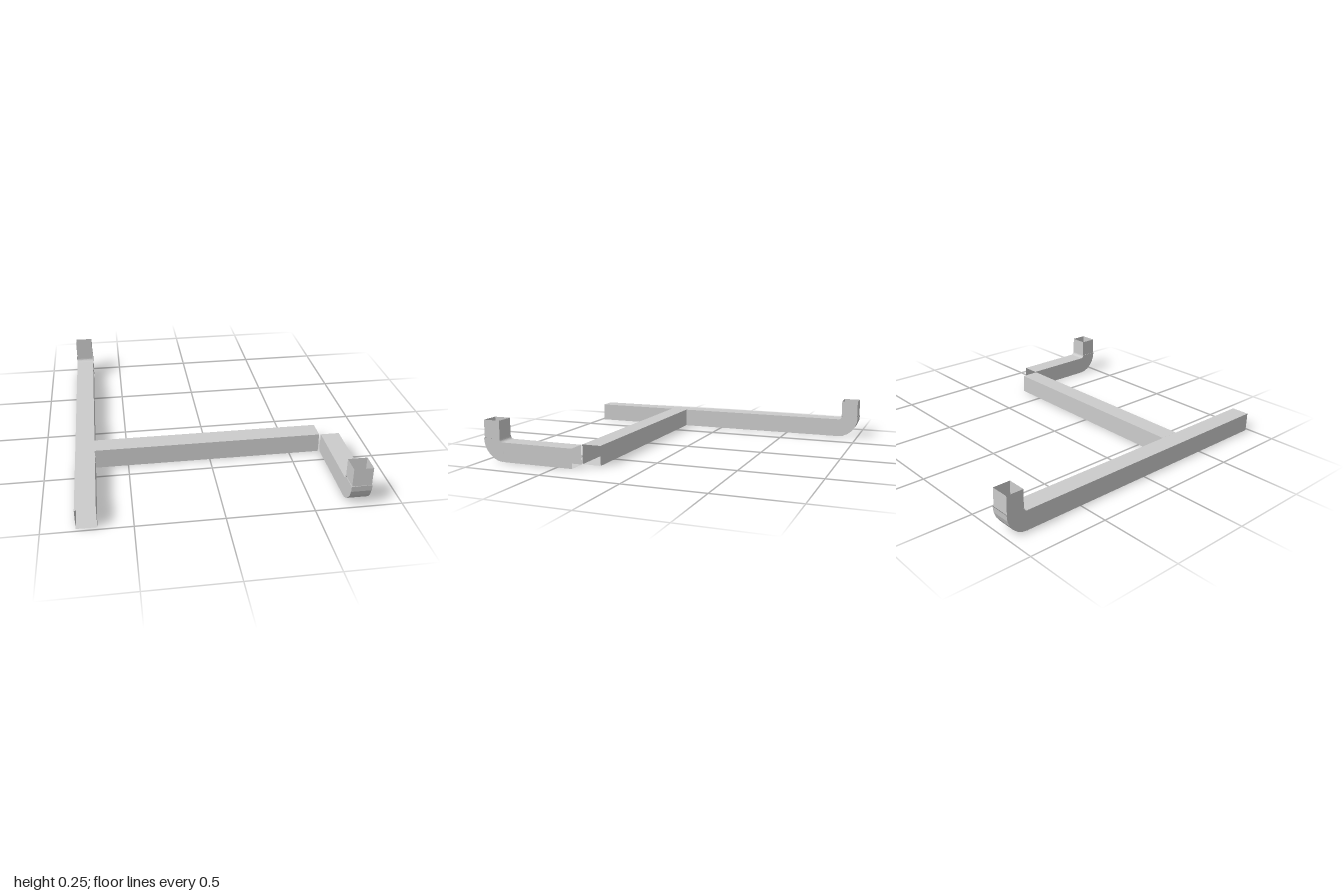
import * as THREE from 'three';

const WIDTH = 0.115, HEIGHT = 0.12;
const material = new THREE.MeshStandardMaterial({ color: 0xcccccc, flatShading: true, side: THREE.DoubleSide });

// Thin-walled square duct through four-cornered rings; openWall leaves out one side
function duct(name, rings, openWall = -1) {
  const points = [];
  for (let s = 0; s < rings.length - 1; s++) {
    for (let i = 0; i < 4; i++) {
      if (i === openWall) continue;
      const j = (i + 1) % 4;
      const [a, b, c, d] = [rings[s][i], rings[s][j], rings[s + 1][j], rings[s + 1][i]];
      points.push(a, b, c, a, c, d);
    }
  }
  const geometry = new THREE.BufferGeometry().setFromPoints(points);
  geometry.computeVertexNormals();
  const mesh = new THREE.Mesh(geometry, material);
  mesh.name = name;
  return mesh;
}

// Ring whose lower (outer) and upper (inner) edges are given as [y, z]
function ring(width, outer, inner) {
  const h = width / 2;
  return [
    new THREE.Vector3(-h, ...outer), new THREE.Vector3(h, ...outer),
    new THREE.Vector3(h, ...inner), new THREE.Vector3(-h, ...inner),
  ];
}

// Row of equal straight sections along z
function straightRun(name, width, start, end, count, teeIndex = -1) {
  const run = new THREE.Group();
  run.name = name;
  const step = (end - start) / count;
  for (let i = 0; i < count; i++) {
    const z0 = start + i * step, z1 = z0 + step;
    const rings = [z0, z1].map((z) => ring(width, [0, z], [HEIGHT, z]));
    const tee = i === teeIndex;
    run.add(duct(tee ? 'teeSection' : 'straightSection', rings, tee ? 3 : -1));
  }
  return run;
}

// Quarter bend from horizontal to vertical, with its riser
function upturnedEnd() {
  const end = new THREE.Group();
  end.name = 'upturnedEnd';
  const cz = 0.867, cy = 0.14, bands = 6, rings = [];
  for (let i = 0; i <= bands; i++) {
    const t = (i / bands) * Math.PI / 2, s = Math.sin(t), c = Math.cos(t);
    rings.push(ring(WIDTH + 0.003, [cy - 0.14 * c, cz + 0.133 * s], [cy - 0.02 * c, cz + 0.022 * s]));
  }
  end.add(duct('elbow', rings));
  end.add(duct('riser', [cy, 0.25].map((y) => ring(WIDTH - 0.003, [y, 0.996], [y, 0.889]))));
  return end;
}

export function createModel() {
  const model = new THREE.Group();
  model.name = 'ductwork';

  // Long duct, turned up at the back, with a tee opening for the branch
  const mainDuct = new THREE.Group();
  mainDuct.name = 'mainDuct';
  mainDuct.add(straightRun('mainRun', WIDTH, -0.98, 0.867, 16, 5), upturnedEnd());
  mainDuct.rotation.y = Math.PI;
  mainDuct.position.x = -0.753;

  // Cross branch
  const branch = straightRun('branchDuct', 0.12, -0.695, 0.685, 12);
  branch.rotation.y = Math.PI / 2;
  branch.position.z = 0.34;

  // Short duct, turned up at the front
  const shortDuct = new THREE.Group();
  shortDuct.name = 'shortDuct';
  shortDuct.add(straightRun('shortRun', WIDTH, 0.4, 0.867, 4), upturnedEnd());
  shortDuct.position.x = 0.753;

  model.add(mainDuct, branch, shortDuct);
  return model;
}
